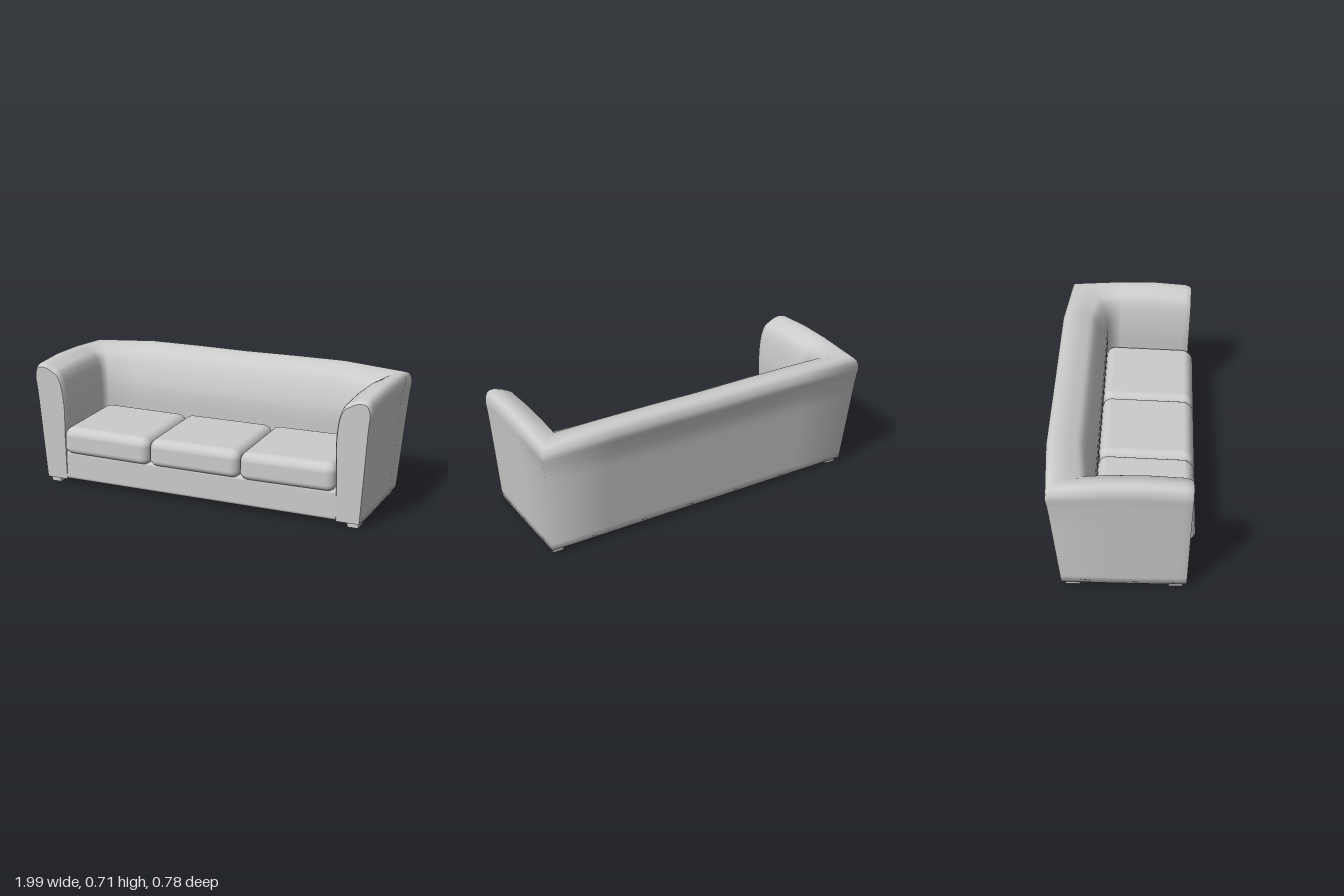
import * as THREE from 'three';
import { RoundedBoxGeometry } from 'three/addons/geometries/RoundedBoxGeometry.js';

const material = new THREE.MeshStandardMaterial({ color: 0xcccccc, roughness: 0.8 });

function addMesh(parent, name, geometry, x = 0, y = 0, z = 0) {
  const mesh = new THREE.Mesh(geometry, material);
  mesh.name = name;
  mesh.position.set(x, y, z);
  parent.add(mesh);
  return mesh;
}

// Upholstery section: [0 = outer face, 1 = inner face ; height]
const section = [
  [0.26, 0.03], [0.19, 0.2], [0.1, 0.42], [0.03, 0.59], [0, 0.655], [0.06, 0.698], [0.28, 0.714],
  [0.6, 0.695], [0.84, 0.66], [0.95, 0.59], [1.02, 0.45], [1.0, 0.3], [1.0, 0.03],
];

// Arms and back: one section swept round a U with mitred corners
function shellGeometry() {
  const curve = new THREE.CatmullRomCurve3(section.map(([t, y]) => new THREE.Vector3(t, y, 0)), false, 'centripetal');
  const ring = curve.getPoints(48);
  // Half of the path: outer point, inward vector, crown drop, back bulge, inset
  const half = [
    { x: 0.99, z: 0.365, ix: -0.19, iz: 0, drop: 0.022, bulge: 0, inset: 0.9 },
    { x: 0.99, z: 0.352, ix: -0.19, iz: 0, drop: 0.018, bulge: 0, inset: 0.97 },
    { x: 0.99, z: 0.325, ix: -0.19, iz: 0, drop: 0.014, bulge: 0, inset: 1 },
    { x: 0.993, z: 0.14, ix: -0.19, iz: 0, drop: 0.002, bulge: 0, inset: 1 },
    { x: 0.993, z: -0.06, ix: -0.19, iz: 0, drop: 0.004, bulge: 0, inset: 1 },
    { x: 0.99, z: -0.365, ix: -0.19, iz: 0.225, drop: 0.02, bulge: 0, inset: 1 },
    { x: 0.6, z: -0.365, ix: 0, iz: 0.225, drop: 0, bulge: 0.026, inset: 1 },
    { x: 0.3, z: -0.365, ix: 0, iz: 0.225, drop: 0, bulge: 0.026, inset: 1 },
  ];
  const middle = { x: 0, z: -0.365, ix: 0, iz: 0.225, drop: 0.003, bulge: 0.026, inset: 1 };
  const mirrored = half.map((s) => ({ ...s, x: -s.x, ix: -s.ix })).reverse();
  const stations = [...half, middle, ...mirrored];

  const positions = [];
  const indices = [];
  const place = (s, t, y) => {
    const high = THREE.MathUtils.clamp((y - 0.5) / 0.15, 0, 1);
    const tt = 0.5 + (t - 0.5) * s.inset;
    const yy = y - (s.drop + (1 - s.inset) * 0.1) * high;
    const lean = s.z > 0.3 ? 0.02 * (1 - y / 0.7) : 0;
    positions.push(s.x + s.ix * tt, yy, s.z + s.iz * tt - s.bulge * high - lean);
  };
  const n = ring.length;
  stations.forEach((s) => ring.forEach((p) => place(s, p.x, p.y)));
  for (let i = 0; i < stations.length - 1; i++) {
    for (let j = 0; j < n; j++) {
      const k = (j + 1) % n;
      const a = i * n + j, b = i * n + k, c = a + n, d = b + n;
      indices.push(a, c, b, b, c, d);
    }
  }
  // Arm fronts, with their own corners so that the panel reads flat
  [stations[0], stations[stations.length - 1]].forEach((s, side) => {
    const start = positions.length / 3;
    ring.forEach((p) => place(s, p.x, p.y));
    place(s, 0.55, 0.38);
    for (let j = 0; j < n; j++) {
      const a = start + j, b = start + ((j + 1) % n);
      indices.push(start + n, side ? b : a, side ? a : b);
    }
  });
  const geometry = new THREE.BufferGeometry();
  geometry.setAttribute('position', new THREE.Float32BufferAttribute(positions, 3));
  geometry.setIndex(indices);
  geometry.computeVertexNormals();
  return geometry;
}

// Seat cushion: a rounded box with a sloping crown and a full front edge
function cushionGeometry(width, height, depth) {
  const geometry = new RoundedBoxGeometry(width, height, depth, 6, 0.05);
  const p = geometry.attributes.position;
  for (let i = 0; i < p.count; i++) {
    const v = p.getY(i) / height + 0.5;
    const w = p.getZ(i) / depth + 0.5;
    const front = THREE.MathUtils.smoothstep(w, 0.75, 1);
    p.setY(i, p.getY(i) - 0.022 * front * v);
    p.setZ(i, p.getZ(i) - 0.025 * front * Math.abs(v - 0.45) * 2);
  }
  geometry.computeVertexNormals();
  // Keep the seams of the box faces smooth by blending towards its rounded normals
  const smooth = new RoundedBoxGeometry(width, height, depth, 6, 0.05).attributes.normal;
  geometry.setAttribute('normal', smooth);
  return geometry;
}

export function createModel() {
  const sofa = new THREE.Group();
  sofa.name = 'sofa';

  addMesh(sofa, 'armsAndBack', shellGeometry());

  // Seat base between the arms
  addMesh(sofa, 'seatBase', new RoundedBoxGeometry(1.84, 0.17, 0.64, 4, 0.02), 0, 0.115, 0.025);

  // Three seat cushions
  [-0.54, -0.003, 0.535].forEach((x, i) => {
    const cushion = addMesh(sofa, 'seatCushion' + (i + 1), cushionGeometry(0.536, 0.174, 0.535), x, 0.273, 0.127);
    cushion.rotation.z = (i - 1) * 0.008;
  });

  // Four block feet
  for (const x of [-0.895, 0.895]) {
    for (const z of [0.288, -0.248]) {
      addMesh(sofa, 'foot', new THREE.BoxGeometry(0.06, 0.034, 0.074), x, 0.017, z);
    }
  }
  return sofa;
}
